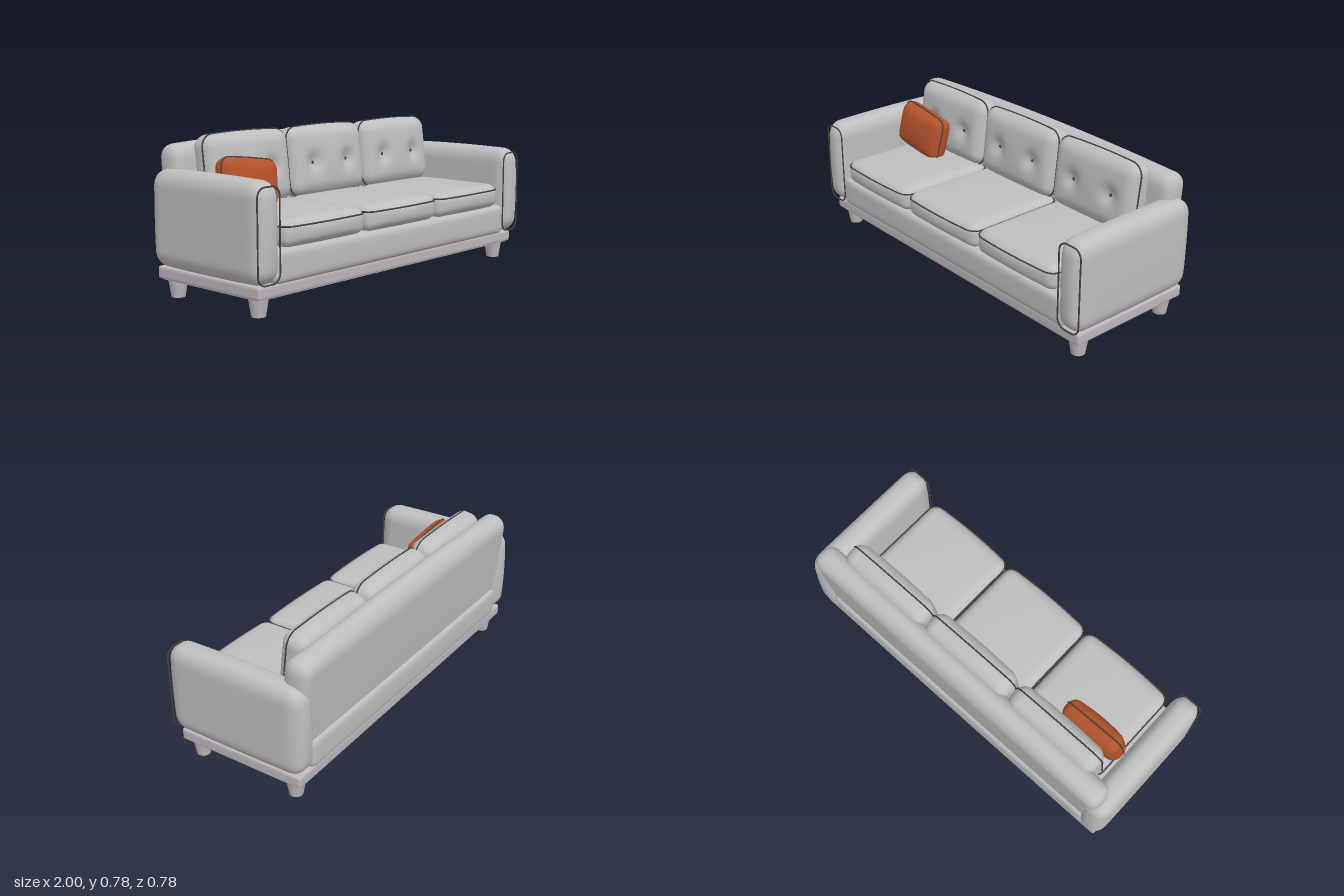
import * as THREE from 'three';
import { mergeVertices } from 'three/addons/utils/BufferGeometryUtils.js';

const mat = (name, color) => Object.assign(new THREE.MeshStandardMaterial({ color }), { name });

// Upholstered block: half sizes h, corner radii r, face swelling b, optional tufts [x, y] on the front
function softBox(h, r, b, seg, tufts = []) {
  let g = new THREE.BoxGeometry(2, 2, 2, ...seg);
  g.deleteAttribute('uv');
  g.deleteAttribute('normal');
  g = mergeVertices(g, 1e-5);
  const p = g.attributes.position;
  for (let i = 0; i < p.count; i++) {
    const u = [p.getX(i), p.getY(i), p.getZ(i)];
    const front = u[2] > 0.99;
    const v = u.map((c, k) => Math.sin(c * Math.PI / 2) * h[k]);
    const inner = v.map((c, k) => THREE.MathUtils.clamp(c, r[k] - h[k], h[k] - r[k]));
    const d = v.map((c, k) => (c - inner[k]) / r[k]);
    const len = Math.hypot(...d) || 1;
    const q = inner.map((c, k) => c + d[k] / len * r[k]);
    const f = q.map((c, k) => c / h[k]);
    const s = f.map((c) => 1 - c * c);
    const out = q.map((c, k) => c + f[k] * b[k] * s[(k + 1) % 3] * s[(k + 2) % 3]);
    if (front) for (const [tx, ty] of tufts) {
      out[2] -= 0.028 * Math.exp(-((out[0] - tx) ** 2 + (out[1] - ty) ** 2) / 0.0022);
    }
    p.setXYZ(i, ...out);
  }
  g.computeVertexNormals();
  return g;
}

// Closed piping cord around a rounded rectangle in the XY plane
function cord(hx, hy, r, crown = 0, radius = 0.004) {
  const pts = [];
  [[1, 1], [-1, 1], [-1, -1], [1, -1]].forEach(([sx, sy], c) => {
    for (let i = 0; i <= 6; i++) {
      const a = (c + i / 6) * Math.PI / 2;
      pts.push([sx * (hx - r) + r * Math.cos(a), sy * (hy - r) + r * Math.sin(a)]);
    }
    // intermediate points along the straight runs
    if (c % 2 === 0) for (let i = 1; i < 8; i++) pts.push([sx * (hx - r) * (1 - i / 4), sy * hy]);
    else for (let i = 1; i < 4; i++) pts.push([sx * hx, sy * (hy - r) * (1 - i / 2)]);
  });
  // top and bottom runs were laid out along the wrong pair of corners otherwise, so order by angle
  pts.sort((a, b) => Math.atan2(a[1], a[0]) - Math.atan2(b[1], b[0]));
  const path = pts.map(([x, y]) => new THREE.Vector3(x, y + Math.sign(y) * crown * (1 - (x / hx) ** 2), 0));
  return new THREE.TubeGeometry(new THREE.CatmullRomCurve3(path, true), 140, radius, 6, true);
}

export function createModel() {
  const fabric = mat('grey fabric', 0xbebebe);
  const frame = mat('frame grey', 0xbcb7bb);
  const dark = mat('dark piping', 0x45453a);
  const rust = mat('rust fabric', 0xb3532a);
  const root = new THREE.Group();
  root.name = 'sofa';

  function add(parent, name, geo, material, x = 0, y = 0, z = 0) {
    const m = new THREE.Mesh(geo, material);
    m.name = name;
    m.position.set(x, y, z);
    parent.add(m);
    return m;
  }
  function group(name, x, y, z, rx = 0, rz = 0) {
    const g = new THREE.Group();
    g.name = name;
    g.position.set(x, y, z);
    g.rotation.set(rx, 0, rz);
    root.add(g);
    return g;
  }

  // Plinth, underside and legs
  add(root, 'plinth', softBox([0.97, 0.031, 0.351], [0.012, 0.012, 0.012], [0, 0, 0], [24, 12, 24]), frame, 0, 0.12, -0.01);
  add(root, 'underside', new THREE.BoxGeometry(1.9, 0.012, 0.665), frame, 0, 0.089, -0.0125);
  const legGeo = new THREE.CylinderGeometry(0.048, 0.034, 0.09, 20);
  for (const x of [-0.905, 0.905]) for (const z of [0.27, -0.29]) add(root, 'leg', legGeo, frame, x, 0.045, z);

  // Seat base and leaning back
  add(root, 'seatBase', softBox([0.88, 0.08, 0.367], [0.03, 0.035, 0.03], [0, 0, 0.004], [24, 16, 20]), fabric, 0, 0.225, -0.008);
  const back = add(root, 'backFrame', softBox([0.94, 0.255, 0.07], [0.05, 0.065, 0.062], [0, 0.027, 0.004], [48, 28, 16]), fabric, 0, 0.475, -0.303);
  back.rotation.x = -0.08;

  // Arms with front piping and studs
  const armGeo = softBox([0.071, 0.23, 0.374], [0.055, 0.075, 0.07], [0.003, 0.007, 0.014], [16, 32, 32]);
  const armCord = cord(0.067, 0.217, 0.045, 0, 0.004);
  const studGeo = new THREE.SphereGeometry(0.005, 8, 6);
  for (const s of [-1, 1]) {
    const arm = group(s > 0 ? 'leftArm' : 'rightArm', s * 0.926, 0.384, 0);
    add(arm, 'armBody', armGeo, fabric);
    add(arm, 'armPiping', armCord, dark, 0, -0.008, 0.364);
    for (const t of [-1, 1]) for (const [x, y] of [[0.045, 0.15], [0.042, 0.165], [0.032, 0.178]]) {
      add(arm, 'stud', studGeo, rust, t * x, y, 0.362);
    }
  }

  // Three seat cushions and three tufted back cushions
  const tufts = [[-0.125, -0.01], [0.125, -0.01]];
  const seatGeo = softBox([0.271, 0.064, 0.28], [0.05, 0.045, 0.05], [0, 0.01, 0.018], [32, 16, 32]);
  const seatCord = cord(0.271, 0.279, 0.05, 0.012);
  const backGeo = softBox([0.269, 0.175, 0.07], [0.06, 0.06, 0.055], [0, 0.012, 0.016], [48, 36, 16], tufts);
  const backCord = cord(0.27, 0.176, 0.06, 0.009);
  const buttonGeo = new THREE.SphereGeometry(0.009, 12, 8);
  for (const x of [-0.55, 0, 0.55]) {
    const seat = group('seatCushion', x, 0.364, 0.083);
    add(seat, 'seatPad', seatGeo, fabric);
    add(seat, 'seatPiping', seatCord, dark, 0, 0.036, 0).rotation.x = Math.PI / 2;

    const rest = group('backCushion', x, 0.594, -0.205, -0.12);
    add(rest, 'backPad', backGeo, fabric);
    add(rest, 'backPiping', backCord, dark, 0, 0, 0.025);
    for (const [tx, ty] of tufts) add(rest, 'button', buttonGeo, dark, tx, ty, 0.054);
  }

  // Loose throw pillow
  const pillow = group('throwPillow', -0.667, 0.543, -0.055, -0.16, -0.13);
  add(pillow, 'pillowPad', softBox([0.168, 0.117, 0.055], [0.04, 0.045, 0.05], [0.004, 0.006, 0.018], [28, 24, 16]), rust);
  add(pillow, 'pillowPiping', cord(0.169, 0.118, 0.04, 0.005), dark, 0, 0, 0.015);

  return root;
}
